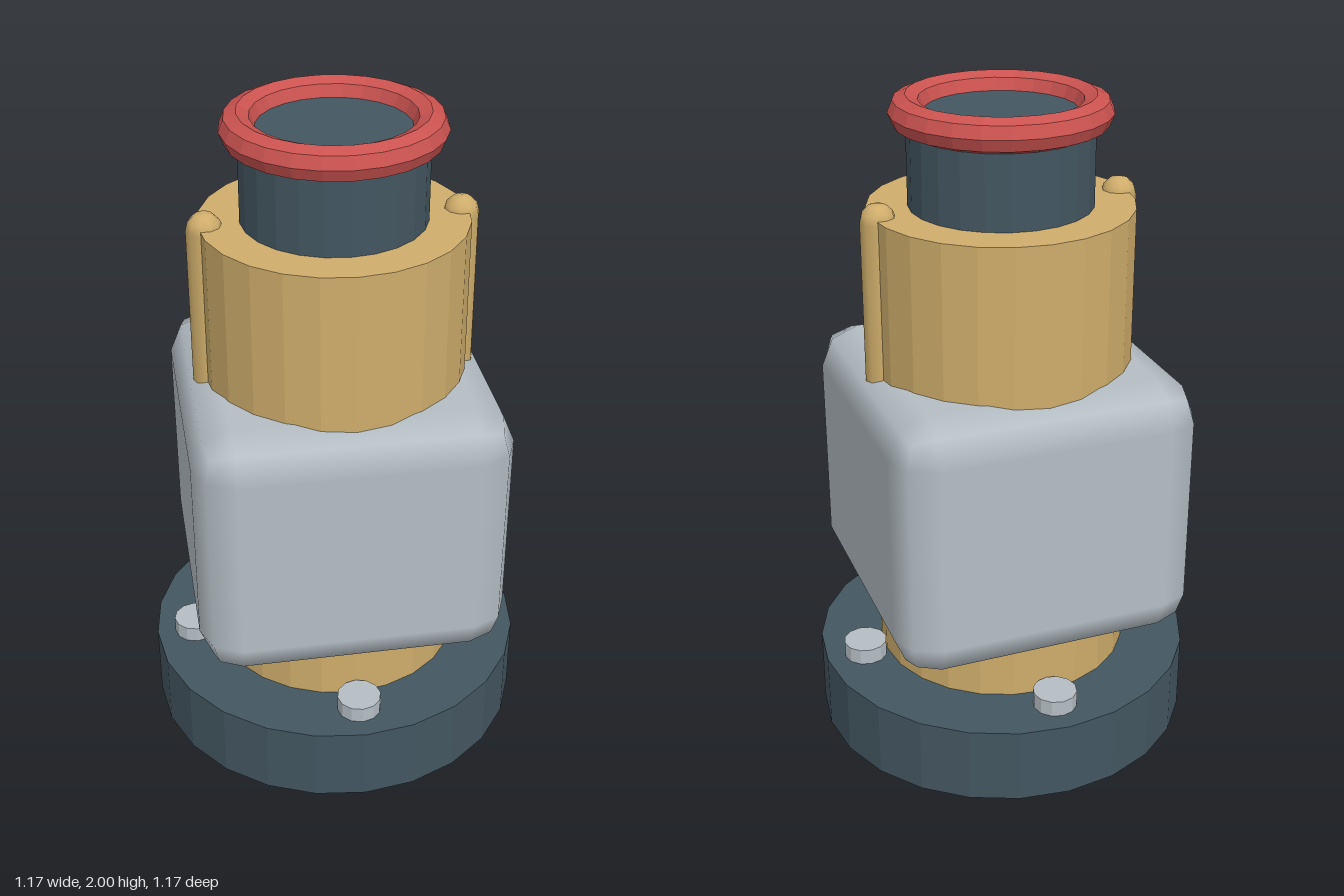
import * as THREE from 'three';
import { RoundedBoxGeometry } from 'three/addons/geometries/RoundedBoxGeometry.js';

const material = (name, color, flatShading = false) => {
  const m = new THREE.MeshStandardMaterial({ color, flatShading });
  m.name = name;
  return m;
};

export function createModel() {
  const model = new THREE.Group();
  model.name = 'pipeFitting';

  const slate = material('darkSlate', 0x435661, true);
  const brass = material('brass', 0xcfad6b);
  const steel = material('paleSteel', 0xb5bec4);
  const red = material('sealRed', 0xcb5350, true);

  const add = (name, geometry, mat, x, y, z) => {
    const mesh = new THREE.Mesh(geometry, mat);
    mesh.name = name;
    mesh.position.set(x, y, z);
    model.add(mesh);
    return mesh;
  };

  // Upright faceted cylinder between two heights
  const drum = (name, radius, y0, y1, mat, sides = 24, x = 0, z = 0) => {
    const faceted = new THREE.CylinderGeometry(radius, radius, y1 - y0, sides).toNonIndexed();
    faceted.computeVertexNormals();
    return add(name, faceted, mat, x, (y0 + y1) / 2, z);
  };

  // Stacked core
  drum('baseFlange', 0.585, 0, 0.24, slate);
  drum('bodyBarrel', 0.39, 0.24, 1.68, brass);
  drum('neck', 0.27, 1.68, 1.95, slate);

  // Rounded square housing around the barrel
  add('housing', new RoundedBoxGeometry(0.936, 0.82, 0.936, 1, 0.12), steel, 0, 0.805, 0);

  // Seal ring on the neck
  const ring = new THREE.TorusGeometry(0.27, 0.05, 8, 24).rotateX(Math.PI / 2);
  add('sealRing', ring, red, 0, 1.95, 0);

  // Round-ended ribs on both sides of the barrel
  for (const side of [-1, 1]) {
    const rib = new THREE.CapsuleGeometry(0.053, 0.62, 3, 10);
    add(side > 0 ? 'leftRib' : 'rightRib', rib, brass, side * 0.37, 1.357, 0);
  }

  // Four flange bolts
  for (let i = 0; i < 4; i++) {
    const a = (i * Math.PI) / 2;
    drum('flangeBolt', 0.067, 0.24, 0.29, steel, 12, Math.sin(a) * 0.46, Math.cos(a) * 0.46);
  }

  return model;
}
